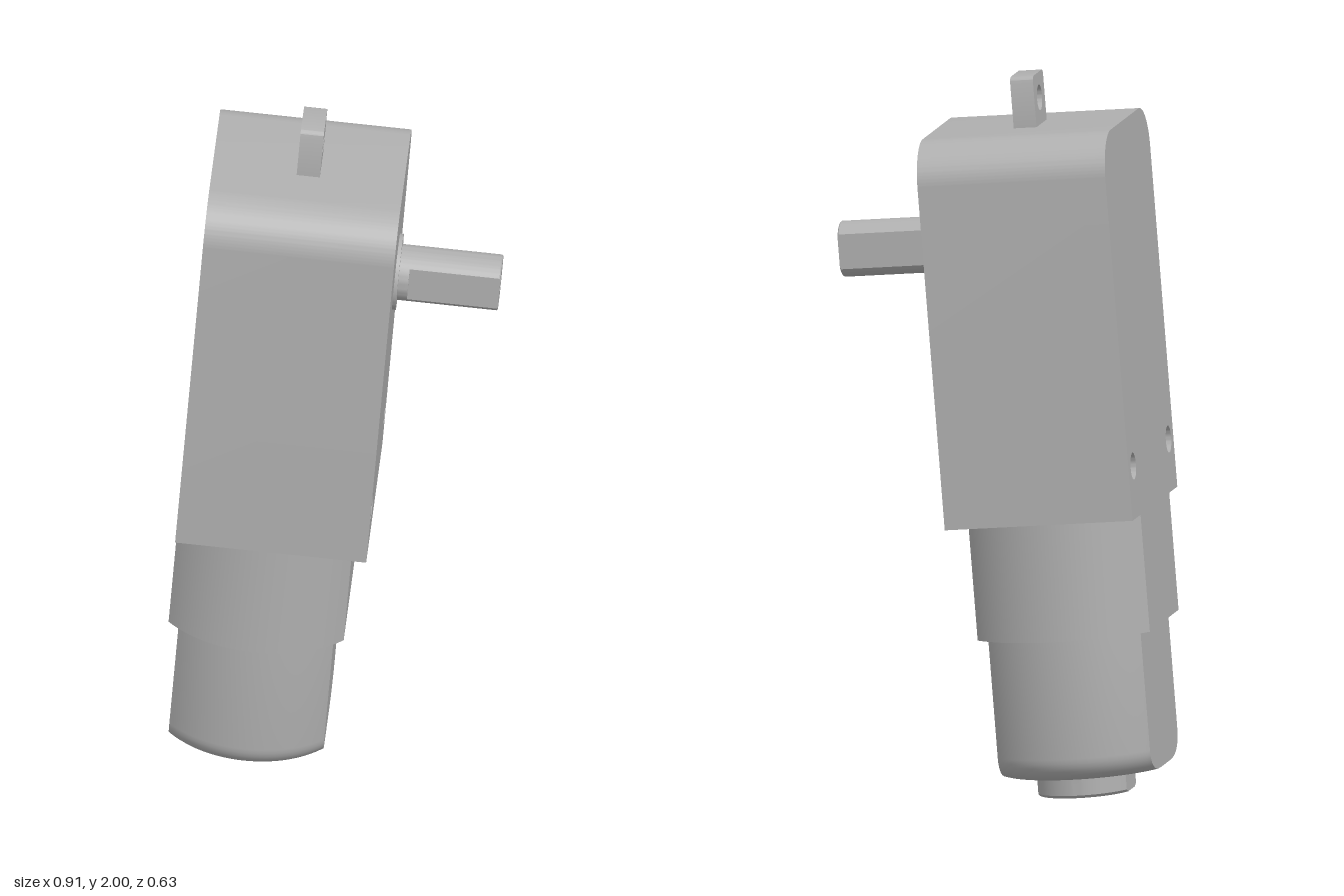
import * as THREE from 'three';
import { toCreasedNormals } from 'three/addons/utils/BufferGeometryUtils.js';

const CREASE = 0.4;

// Turned solid along y from a [radius, height] profile, cut by flats at x = +-flat
function flattedTurning(profile, flat) {
  const N = 32, ring = 2 * (N + 1), pos = [], index = [];
  for (const [r, y] of profile) {
    const a = Math.asin(Math.min(1, flat / Math.max(r, 1e-6)));
    for (const side of [1, -1]) {
      for (let j = 0; j <= N; j++) {
        const t = -a + (2 * a * j) / N;
        pos.push(side * r * Math.sin(t), y, side * r * Math.cos(t));
      }
    }
  }
  for (let i = 0; i < profile.length - 1; i++) {
    for (let j = 0; j < ring; j++) {
      const k = (j + 1) % ring;
      const a = i * ring + j, b = i * ring + k;
      index.push(a, b, b + ring, a, b + ring, a + ring);
    }
  }
  const geo = new THREE.BufferGeometry();
  geo.setAttribute('position', new THREE.Float32BufferAttribute(pos, 3));
  geo.setIndex(index);
  return toCreasedNormals(geo, CREASE);
}

// Plate in the z-y plane with rounded top corners and round holes, x0 to x1
function plate(x0, x1, halfZ, y0, y1, radius, holes) {
  const s = new THREE.Shape();
  s.moveTo(-halfZ, y0);
  s.lineTo(halfZ, y0);
  s.lineTo(halfZ, y1 - radius);
  s.absarc(halfZ - radius, y1 - radius, radius, 0, Math.PI / 2, false);
  s.absarc(-halfZ + radius, y1 - radius, radius, Math.PI / 2, Math.PI, false);
  s.closePath();
  for (const [z, y, r] of holes) {
    s.holes.push(new THREE.Path().absarc(z, y, r, 0, Math.PI * 2, true));
  }
  const geo = new THREE.ExtrudeGeometry(s, { depth: x1 - x0, bevelEnabled: false, curveSegments: 20 });
  geo.rotateY(Math.PI / 2).translate(x0, 0, 0);
  return toCreasedNormals(geo, CREASE);
}

export function createModel() {
  const grey = new THREE.MeshStandardMaterial({ color: 0xb0b0b0 });
  grey.name = 'grey';

  const model = new THREE.Group();
  model.name = 'gearMotor';
  const tilted = new THREE.Group();
  tilted.name = 'tiltedAssembly';
  tilted.rotation.z = THREE.MathUtils.degToRad(-4.6);
  model.add(tilted);

  const add = (name, geo, x = 0, y = 0) => {
    const mesh = new THREE.Mesh(geo, grey);
    mesh.name = name;
    mesh.position.set(x, y, 0);
    tilted.add(mesh);
  };

  // Gearbox with two through holes, and the eyelet on top
  add('gearbox', plate(-0.49, 0.037, 0.315, 0.777, 1.845, 0.12,
    [[-0.248, 0.919, 0.037], [0.248, 0.919, 0.037]]));
  add('mountingTab', plate(-0.258, -0.194, 0.0715, 1.84, 1.986, 0.016, [[0, 1.917, 0.035]]));

  // Motor collar and motor can, both round with two flats
  const motorX = -0.2483;
  add('motorCollar', flattedTurning([[0, 0.452], [0.315, 0.452], [0.315, 0.777], [0, 0.777]], 0.2415), motorX);

  const can = [[0, 0.057]], fillet = 0.065;
  for (let i = 0; i <= 8; i++) {
    const t = (i / 8) * Math.PI / 2;
    can.push([0.288 - fillet + fillet * Math.sin(t), 0.057 + fillet - fillet * Math.cos(t)]);
  }
  can.push([0.288, 0.455], [0, 0.455]);
  add('motorCan', flattedTurning(can, 0.2135), motorX);

  // Rear bearing boss with a small centre recess
  add('rearBoss', flattedTurning([[0, 0.004], [0.026, 0.004], [0.026, -0.008],
    [0.132, -0.008], [0.14, 0], [0.14, 0.06], [0, 0.06]], 0.124), -0.2375);

  // Output shaft: bearing ring, round shoulder, two-flat shaft with a bored end
  const alongX = (geo) => geo.rotateY(Math.PI / 2).rotateZ(-Math.PI / 2);
  const shaftY = 1.526;
  add('bearingRing', alongX(flattedTurning([[0, 0.03], [0.105, 0.03], [0.105, 0.047], [0, 0.047]], 1)), 0, shaftY);
  add('shaftShoulder', alongX(flattedTurning([[0, 0.03], [0.077, 0.03], [0.077, 0.075], [0, 0.075]], 1)), 0, shaftY);
  add('outputShaft', alongX(flattedTurning([[0, 0.05], [0.077, 0.05], [0.077, 0.322], [0.074, 0.325],
    [0.028, 0.325], [0.028, 0.2], [0, 0.2]], 0.06)), 0, shaftY);

  return model;
}
